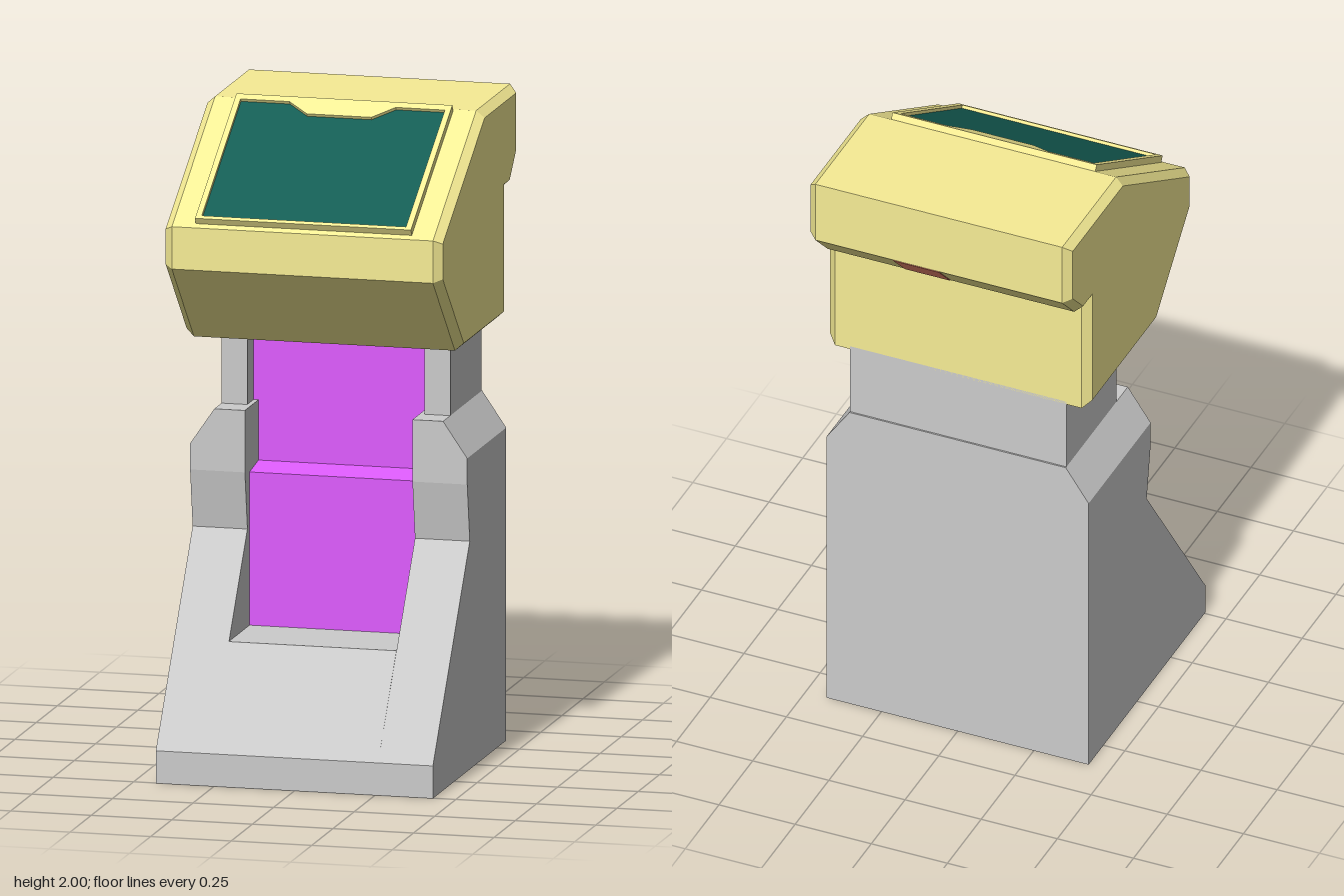
import * as THREE from 'three';

const mat = (color) => new THREE.MeshStandardMaterial({ color });
const grey = mat(0xcccccc);
const yellow = mat(0xf7ed95);
const purple = mat(0xdf5cff);
const green = mat(0x145d54);
const red = mat(0xf58c73);

const shapeOf = (points) => new THREE.Shape(points.map(([a, b]) => new THREE.Vector2(a, b)));

function addMesh(parent, name, geometry, material) {
  const mesh = new THREE.Mesh(geometry, material);
  mesh.name = name;
  parent.add(mesh);
  return mesh;
}

// Extrude a (z, y) side profile from x0 to x1
function sideProfile(points, x0, x1, options = {}) {
  const g = new THREE.ExtrudeGeometry(shapeOf(points), { depth: x1 - x0, bevelEnabled: false, ...options });
  return g.rotateY(-Math.PI / 2).translate(x1, 0, 0);
}

// Box given by its min and max corners
function boxBetween(x0, x1, y0, y1, z0, z1) {
  return new THREE.BoxGeometry(x1 - x0, y1 - y0, z1 - z0)
    .translate((x0 + x1) / 2, (y0 + y1) / 2, (z0 + z1) / 2);
}

export function createModel() {
  const model = new THREE.Group();
  const back = -0.36;

  // Pedestal: two cheeks with sloped shoulders either side of a central slot
  const base = new THREE.Group();
  base.name = 'pedestal';
  model.add(base);
  const cheek = [[0.505, 0], [0.505, 0.1], [0.07, 0.7], [0.1, 0.88], [0.1, 0.96], [back, 0.96], [back, 0]];
  for (const s of [-1, 1]) {
    const side = s > 0 ? 'left' : 'right';
    const [x0, x1] = s > 0 ? [0.26, 0.43] : [-0.43, -0.26];
    addMesh(base, side + 'Cheek', sideProfile(cheek, x0, x1), grey);
    let shoulder = [[0.26, 0.96], [0.43, 0.96], [0.355, 1.07], [0.26, 1.07]];
    shoulder = shoulder.map(([x, y]) => [x * s, y]);
    const g = new THREE.ExtrudeGeometry(shapeOf(shoulder), { depth: 0.1 - back, bevelEnabled: false });
    addMesh(base, side + 'Shoulder', g.translate(0, 0, back), grey);
  }
  const toe = [[0.505, 0], [0.505, 0.1], [0.29, 0.4], [back, 0.4], [back, 0]];
  addMesh(base, 'toe', sideProfile(toe, -0.26, 0.26), grey);
  addMesh(base, 'backWall', boxBetween(-0.26, 0.26, 0.4, 1.07, back, -0.1), grey);

  // Coloured inset panels in the slot
  const lower = [[0.045, 0.4], [0.045, 0.87], [-0.06, 0.885], [-0.1, 0.885], [-0.1, 0.4]];
  addMesh(model, 'lowerPanel', sideProfile(lower, -0.26, 0.26), purple);
  addMesh(model, 'upperPanel', boxBetween(-0.275, 0.275, 0.88, 1.31, -0.1, -0.06), purple);

  // Neck: back block with two forward posts framing the panel
  const neck = new THREE.Group();
  neck.name = 'neck';
  model.add(neck);
  addMesh(neck, 'neckBack', boxBetween(-0.355, 0.355, 1.06, 1.31, -0.355, -0.1), grey);
  addMesh(neck, 'leftPost', boxBetween(0.275, 0.355, 1.06, 1.31, -0.1, 0.015), grey);
  addMesh(neck, 'rightPost', boxBetween(-0.355, -0.275, 1.06, 1.31, -0.1, 0.015), grey);

  // Head housing with chamfered side edges
  const head = new THREE.Group();
  head.name = 'head';
  model.add(head);
  const housing = [
    [0.41, 1.69], [0.41, 1.56], [0.15, 1.3], [-0.355, 1.3], [-0.355, 1.69],
    [-0.41, 1.69], [-0.5, 1.78], [-0.5, 1.985], [-0.1, 1.985],
  ].reverse();
  addMesh(head, 'housing', sideProfile(housing, -0.405, 0.405, {
    bevelEnabled: true, bevelSegments: 1, bevelThickness: 0.025, bevelSize: 0.022, bevelOffset: -0.022,
  }), yellow);

  // Screen and its raised frame, tilted to lie on the sloped face
  const display = new THREE.Group();
  display.name = 'display';
  display.position.set(0, 1.837, 0.146);
  display.rotation.x = -Math.PI / 3;
  head.add(display);
  const screen = [
    [-0.317, -0.269], [0.317, -0.269], [0.317, 0.259], [0.165, 0.259],
    [0.1, 0.209], [-0.1, 0.209], [-0.165, 0.259], [-0.317, 0.259],
  ];
  const frame = shapeOf([[-0.335, -0.2825], [0.335, -0.2825], [0.335, 0.2825], [-0.335, 0.2825]]);
  frame.holes.push(shapeOf(screen));
  addMesh(display, 'screenFrame', new THREE.ExtrudeGeometry(frame, { depth: 0.026, bevelEnabled: false }), yellow);
  addMesh(display, 'screen', new THREE.ShapeGeometry(shapeOf(screen)).translate(0, 0, 0.016), green);

  // Small patch on the sloped underside of the rear overhang
  const patch = addMesh(head, 'rearPatch', new THREE.BoxGeometry(0.15, 0.124, 0.004), red);
  patch.position.set(0.075, 1.735, -0.455);
  patch.rotation.x = -Math.PI / 4;

  return model;
}
